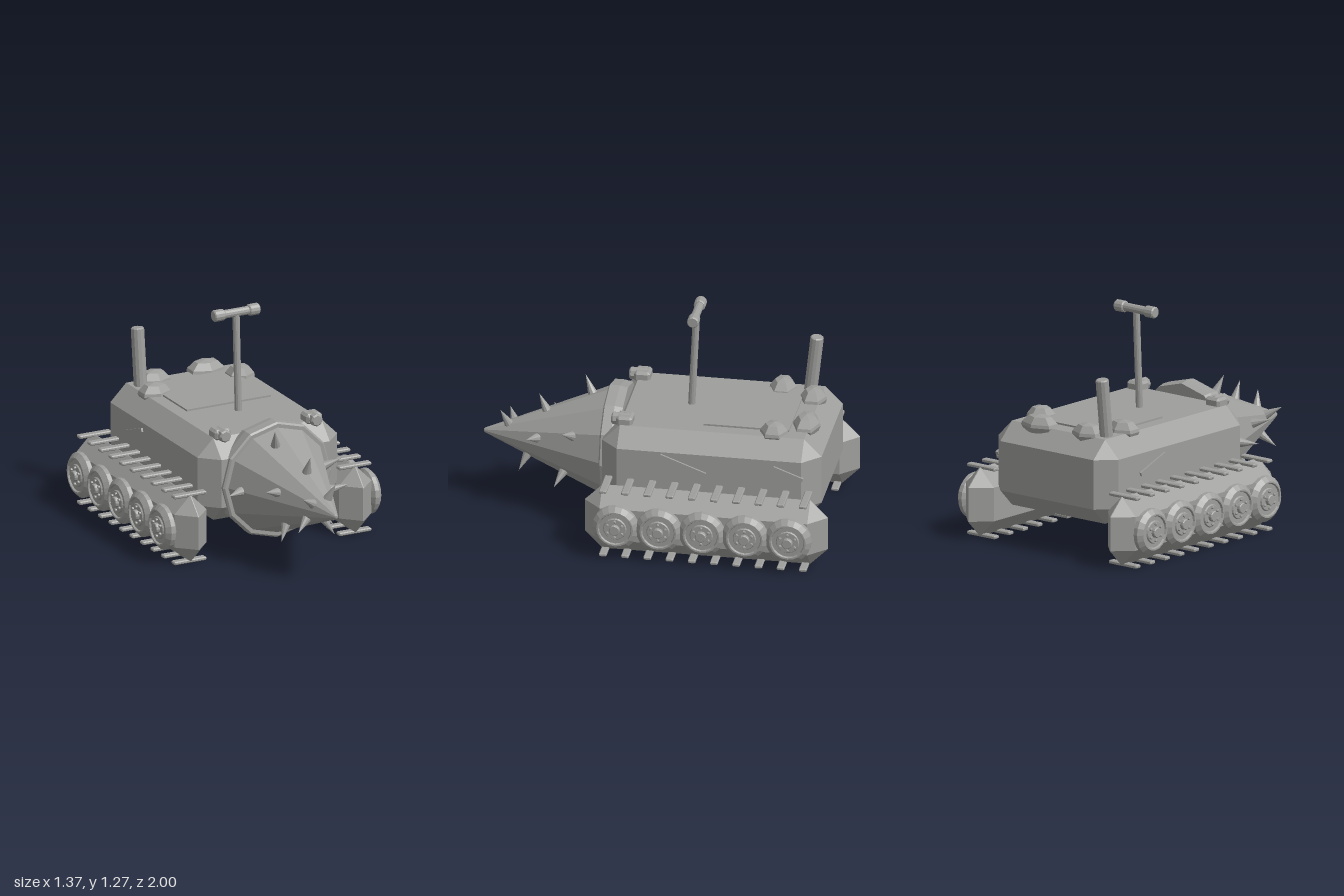
import * as THREE from 'three';
import { ConvexGeometry } from 'three/addons/geometries/ConvexGeometry.js';

const grey = new THREE.MeshStandardMaterial({ color: 0x9e9e9c });
grey.name = 'plain grey';

const UP = new THREE.Vector3(0, 1, 0);

function add(parent, name, geometry, x = 0, y = 0, z = 0) {
  const g = geometry.index ? geometry.toNonIndexed() : geometry;
  g.computeVertexNormals(); // crisp facets
  const mesh = new THREE.Mesh(g, grey);
  mesh.name = name;
  mesh.position.set(x, y, z);
  parent.add(mesh);
  return mesh;
}

// Box with every edge cut by a 45 degree chamfer
function chamferBox(w, h, d, c) {
  const pts = [];
  const half = [w / 2, h / 2, d / 2];
  for (const sx of [-1, 1]) for (const sy of [-1, 1]) for (const sz of [-1, 1]) {
    for (let axis = 0; axis < 3; axis++) {
      const p = half.map((v, i) => (i === axis ? v : v - c));
      pts.push(new THREE.Vector3(sx * p[0], sy * p[1], sz * p[2]));
    }
  }
  return new ConvexGeometry(pts);
}

function lathe(profile, sides) {
  return new THREE.LatheGeometry(profile.map(([r, y]) => new THREE.Vector2(r, y)), sides);
}

// Cylinder with softened rims, centred on its axis
function rod(r, length, sides = 12, c = 0.006) {
  const h = length / 2;
  return lathe([[0, -h], [r - c, -h], [r, -h + c], [r, h - c], [r - c, h], [0, h]], sides);
}

function buildWheel(side) {
  const wheel = new THREE.Group();
  wheel.name = 'wheel';
  add(wheel, 'rim', lathe([
    [0, 0], [0.105, 0], [0.128, 0.016], [0.128, 0.04], [0.102, 0.064],
    [0.093, 0.064], [0.088, 0.054], [0.065, 0.054], [0.06, 0.062], [0, 0.062],
  ], 20));
  add(wheel, 'hub', rod(0.03, 0.03, 12, 0.004), 0, 0.068, 0);
  for (let i = 0; i < 6; i++) {
    const a = (i / 6) * Math.PI * 2;
    add(wheel, 'bolt', rod(0.008, 0.02, 6, 0.002), Math.cos(a) * 0.047, 0.064, Math.sin(a) * 0.047);
  }
  wheel.rotation.z = -side * Math.PI / 2;
  return wheel;
}

function buildTrack(side) {
  const track = new THREE.Group();
  track.name = side > 0 ? 'leftTrack' : 'rightTrack';
  add(track, 'trackBody', chamferBox(0.2, 0.385, 1.35, 0.0975), side * 0.51, 0.2, -0.325);
  // Tread bars along the top and bottom ridges
  for (let i = 0; i < 10; i++) {
    const z = 0.235 - i * 0.1235;
    for (const y of [0.393, 0.01]) {
      add(track, 'treadBar', chamferBox(0.2, 0.019, 0.042, 0.005), side * 0.51, y, z);
    }
  }
  for (let i = 0; i < 5; i++) {
    const wheel = buildWheel(side);
    wheel.position.set(side * 0.603, 0.2, 0.158 - i * 0.24);
    track.add(wheel);
  }
  return track;
}

function buildDrill() {
  const drill = new THREE.Group();
  drill.name = 'drill';
  drill.position.y = 0.415;
  const flange = lathe([[0, 0.2], [0.325, 0.2], [0.335, 0.245], [0.335, 0.3], [0.325, 0.308], [0, 0.308]], 12);
  add(drill, 'flange', flange.rotateX(Math.PI / 2));
  const cone = lathe([[0, 0.29], [0.307, 0.29], [0.307, 0.3], [0.014, 0.992], [0.008, 1], [0, 1]], 12);
  add(drill, 'drillCone', cone.rotateX(Math.PI / 2));

  // Spikes stand square to the cone; pairs are offsets from its axis
  const feet = [
    [-0.066, 0.245], [0, 0.15], [0.018, 0.058], [0.2, 0.103], [0.13, 0.041], [-0.06, 0.036],
    [-0.16, 0.048], [-0.265, 0], [-0.07, -0.06], [-0.092, -0.155], [0.052, -0.095], [0.14, -0.143],
  ];
  for (const [x, y] of feet) {
    const r = Math.hypot(x, y);
    const normal = new THREE.Vector3(x / r, y / r, 0.43).normalize();
    const spike = add(drill, 'spike', new THREE.ConeGeometry(0.03, 0.12, 10), x, y, 1 - r * 2.33);
    spike.quaternion.setFromUnitVectors(UP, normal);
    spike.position.addScaledVector(normal, 0.048);
  }
  return drill;
}

// Rod between two points
function strut(parent, name, r, from, to) {
  const a = new THREE.Vector3(...from), b = new THREE.Vector3(...to);
  const dir = b.clone().sub(a);
  const mid = a.add(b).multiplyScalar(0.5);
  const mesh = add(parent, name, rod(r, dir.length()), mid.x, mid.y, mid.z);
  mesh.quaternion.setFromUnitVectors(UP, dir.normalize());
}

function buildPeriscope() {
  const scope = new THREE.Group();
  scope.name = 'periscope';
  strut(scope, 'pole', 0.02, [0, 0.65, -0.153], [0, 1.23, -0.181]);
  strut(scope, 'crossbar', 0.024, [-0.1, 1.234, -0.183], [0.1, 1.234, -0.183]);
  for (const s of [-1, 1]) {
    strut(scope, 'eyepiece', 0.033, [s * 0.075, 1.234, -0.183], [s * 0.14, 1.234, -0.183]);
  }
  return scope;
}

export function createModel() {
  const model = new THREE.Group();
  model.name = 'drillTank';

  // Hull and roof hatch
  add(model, 'hull', chamferBox(0.865, 0.475, 1.22, 0.098), 0, 0.4375, -0.325);
  add(model, 'roofHatch', new THREE.BoxGeometry(0.52, 0.03, 0.475), 0, 0.67, -0.503);

  model.add(buildDrill(), buildPeriscope(), buildTrack(1), buildTrack(-1));

  // Headlamps at the front of the roof
  for (const s of [-1, 1]) {
    add(model, 'lampHousing', chamferBox(0.1, 0.06, 0.09, 0.014), s * 0.283, 0.69, 0.165);
    add(model, 'lamp', rod(0.036, 0.1, 8, 0.008).rotateX(Math.PI / 2), s * 0.283, 0.69, 0.19);
  }

  // Exhaust leaning back
  strut(model, 'exhaust', 0.037, [-0.283, 0.64, -0.762], [-0.283, 1.0, -0.802]);

  // Faceted roof domes: x, z, x radius, z radius
  const domes = [[-0.18, -0.8, 0.098, 0.075], [0.15, -0.82, 0.117, 0.077],
    [-0.275, -0.615, 0.098, 0.077], [0.275, -0.66, 0.085, 0.079]];
  for (const [x, z, rx, rz] of domes) {
    const geo = lathe([[0, -0.03], [0.85, -0.03], [1, 0], [0.95, 0.018], [0.6, 0.055], [0, 0.066]], 6);
    add(model, 'roofDome', geo.scale(rx, 1, rz), x, 0.673, z);
  }

  // Thin slanted strips on the hull sides: x, y, z, length
  for (const [x, y, z, length] of [[0.435, 0.505, -0.765, 0.175], [0.435, 0.51, -0.18, 0.27], [-0.435, 0.5, -0.555, 0.22]]) {
    const strip = add(model, 'sideStrip', new THREE.BoxGeometry(0.018, 0.022, length), x, y, z);
    strip.rotation.x = -0.36;
  }
  return model;
}
